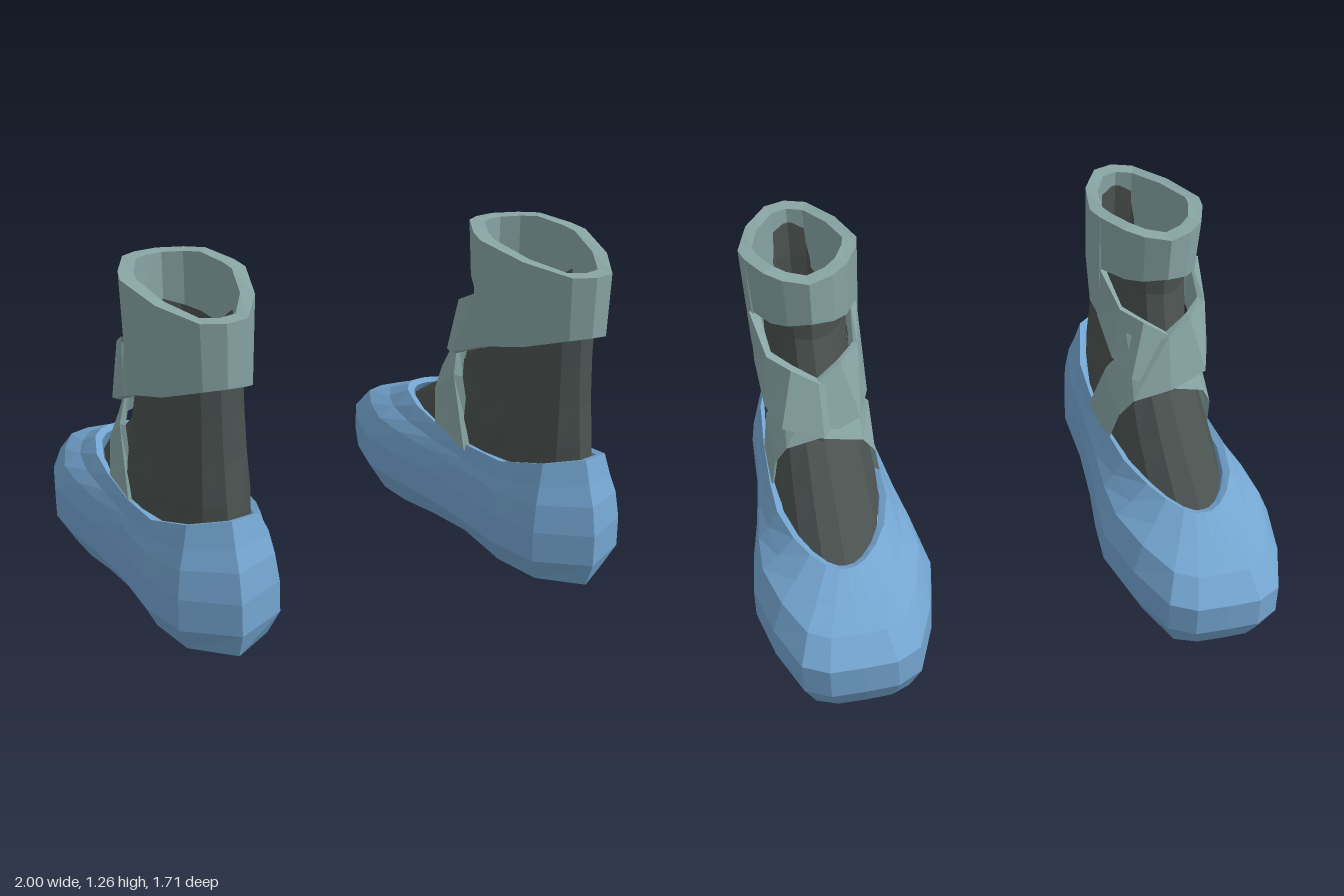
import * as THREE from 'three';

const blue = new THREE.MeshStandardMaterial({ color: 0x74a5d0, flatShading: true });
blue.name = 'blueSatin';
const sage = new THREE.MeshStandardMaterial({ color: 0x88a5a4, flatShading: true, side: THREE.DoubleSide });
sage.name = 'sageRibbon';
const charcoal = new THREE.MeshStandardMaterial({ color: 0x4a5250, flatShading: true, side: THREE.DoubleSide });
charcoal.name = 'charcoalStocking';

// Skin a series of rings of [x, y, z] points; each ring may be closed or open
function loft(rings, closed = true) {
  const n = rings[0].length;
  const pos = rings.flat(2);
  const index = [];
  for (let k = 0; k < rings.length - 1; k++) {
    for (let i = 0; i < (closed ? n : n - 1); i++) {
      const a = k * n + i, b = k * n + (i + 1) % n;
      index.push(a, b, b + n, a, b + n, a + n);
    }
  }
  const g = new THREE.BufferGeometry();
  g.setAttribute('position', new THREE.Float32BufferAttribute(pos, 3));
  g.setIndex(index);
  const flat = g.toNonIndexed();
  flat.computeVertexNormals();
  return flat;
}

// Complete a half ring (heel to toe along +x) with its mirror image
function mirrorRing(half) {
  const back = half.slice(1, -1).reverse().map(([x, y, z]) => [-x, y, z]);
  return [...half, ...back];
}

function part(name, geometry, material) {
  const m = new THREE.Mesh(geometry, material);
  m.name = name;
  return m;
}

// Slipper: each station has the widest half-width, z, sole height, then rim half-width, z, height
function slipperGeometry() {
  const stations = [
    [0, 0.855, 0.05, 0, 0.77, 0.525],
    [0.18, 0.73, 0.05, 0.13, 0.69, 0.5],
    [0.235, 0.52, 0.045, 0.19, 0.48, 0.44],
    [0.245, 0.25, 0.055, 0.205, 0.25, 0.42],
    [0.275, 0, 0.035, 0.21, 0, 0.42],
    [0.31, -0.2, 0.015, 0.205, -0.19, 0.43],
    [0.33, -0.38, 0.01, 0.165, -0.36, 0.435],
    [0.285, -0.6, 0.005, 0.12, -0.45, 0.425],
    [0.21, -0.8, 0.012, 0.07, -0.51, 0.415],
    [0.12, -0.852, 0.03, 0.03, -0.535, 0.41],
    [0, -0.855, 0.03, 0, -0.54, 0.41],
  ];
  const ring = (fn) => mirrorRing(stations.map((s) => fn(...s)));
  const wall = (t, bulge) => ring((w, z, y, rw, rz, ry) => {
    const y0 = 0.24 + 0.02 * z;
    return [w + (rw - w) * t, y0 + (ry - y0) * t + bulge, z + (rz - z) * t];
  });
  return loft([
    ring((w, z, y) => [0, y, z * 0.95]),
    ring((w, z, y) => [w * 0.8, y, z * 0.955]),
    ring((w, z) => [w, 0.125 + 0.02 * z, z]),
    wall(0, 0),
    wall(0.25, 0.04),
    wall(0.62, 0.012),
    ring((w, z, y, rw, rz, ry) => [rw, ry, rz]),
    ring((w, z, y, rw, rz, ry) => [rw * 0.88, ry - 0.012, 0.1 + (rz - 0.1) * 0.95]),
    ring((w, z) => [w * 0.8, 0.1, z * 0.8]),
    ring((w, z) => [0, 0.1, z * 0.8]),
  ]);
}

// Stocking: oval rings given by back height, front height, back z, front z, half-width
function stockingGeometry() {
  const levels = [
    [0.45, 0.38, 0.735, -0.51, 0.2],
    [0.55, 0.51, 0.725, -0.28, 0.19],
    [0.7, 0.64, 0.705, -0.08, 0.17],
    [0.85, 0.85, 0.695, 0, 0.16],
    [1.0, 1.0, 0.69, 0.055, 0.16],
    [1.14, 1.14, 0.7, 0.06, 0.175],
  ];
  const sides = 16;
  return loft(levels.map(([yb, yf, zb, zf, w]) => {
    const ring = [];
    for (let i = 0; i < sides; i++) {
      const a = (i / sides) * Math.PI * 2, c = Math.cos(a);
      ring.push([w * Math.sin(a), (yb + yf) / 2 + c * (yb - yf) / 2, (zb + zf) / 2 + c * (zb - zf) / 2]);
    }
    return ring;
  }));
}

// Ankle cuff: half-width, z, top height, bottom height; it steps up where the straps leave it
function cuffGeometry() {
  const stations = [
    [0, 0.77, 1.2, 0.98],
    [0.08, 0.74, 1.2, 0.97],
    [0.17, 0.56, 1.22, 0.905],
    [0.22, 0.33, 1.25, 0.845],
    [0.205, 0.25, 1.258, 0.815],
    [0.204, 0.246, 1.258, 1.03],
    [0.15, 0.11, 1.27, 1.055],
    [0.09, 0.05, 1.265, 1.07],
    [0, 0.01, 1.26, 1.09],
  ];
  const ring = (sx, sz, top) => mirrorRing(stations.map(([w, z, yt, yb]) =>
    [w * sx, top ? yt : yb, 0.385 + (z - 0.385) * sz]));
  const outer = ring(0.93, 0.98, false);
  return loft([outer, ring(1, 1, true), ring(0.76, 0.82, true), ring(0.76, 0.82, false), outer]);
}

// Crossing strap: from the cuff on one side, over the instep, down to the rim on the other
function strapGeometry(side, lift) {
  const upper = [[0.195, 1.03, 0.26], [0.165, 0.95, 0.07], [0.09, 0.92, 0.005], [0, 0.87, -0.025],
    [-0.13, 0.79, 0.03], [-0.19, 0.66, 0.12], [-0.205, 0.4, 0.25]];
  const lower = [[0.195, 0.815, 0.26], [0.19, 0.74, 0.07], [0.145, 0.71, -0.055], [0, 0.67, -0.095],
    [-0.14, 0.63, -0.08], [-0.185, 0.55, -0.05], [-0.205, 0.4, 0]];
  const shift = (pts, d) => {
    const out = pts.map(([x, y, z]) => {
      const r = Math.hypot(x, z - 0.33);
      return [side * (x + x / r * d), y, z + (z - 0.33) / r * d];
    });
    return side < 0 ? out.reverse() : out;
  };
  const base = shift(lower, lift);
  return loft([base, shift(upper, lift), shift(upper, -0.025), shift(lower, -0.025), base], false);
}

function makeShoe(name, side) {
  const shoe = new THREE.Group();
  shoe.name = name;
  shoe.add(
    part('slipper', slipperGeometry(), blue),
    part('stocking', stockingGeometry(), charcoal),
    part('ankleCuff', cuffGeometry(), sage),
    part('underStrap', strapGeometry(-side, 0), sage),
    part('overStrap', strapGeometry(side, 0.012), sage),
  );
  shoe.position.x = side * 0.67;
  return shoe;
}

export function createModel() {
  const model = new THREE.Group();
  model.name = 'slippers';
  model.add(makeShoe('leftShoe', 1), makeShoe('rightShoe', -1));
  return model;
}
